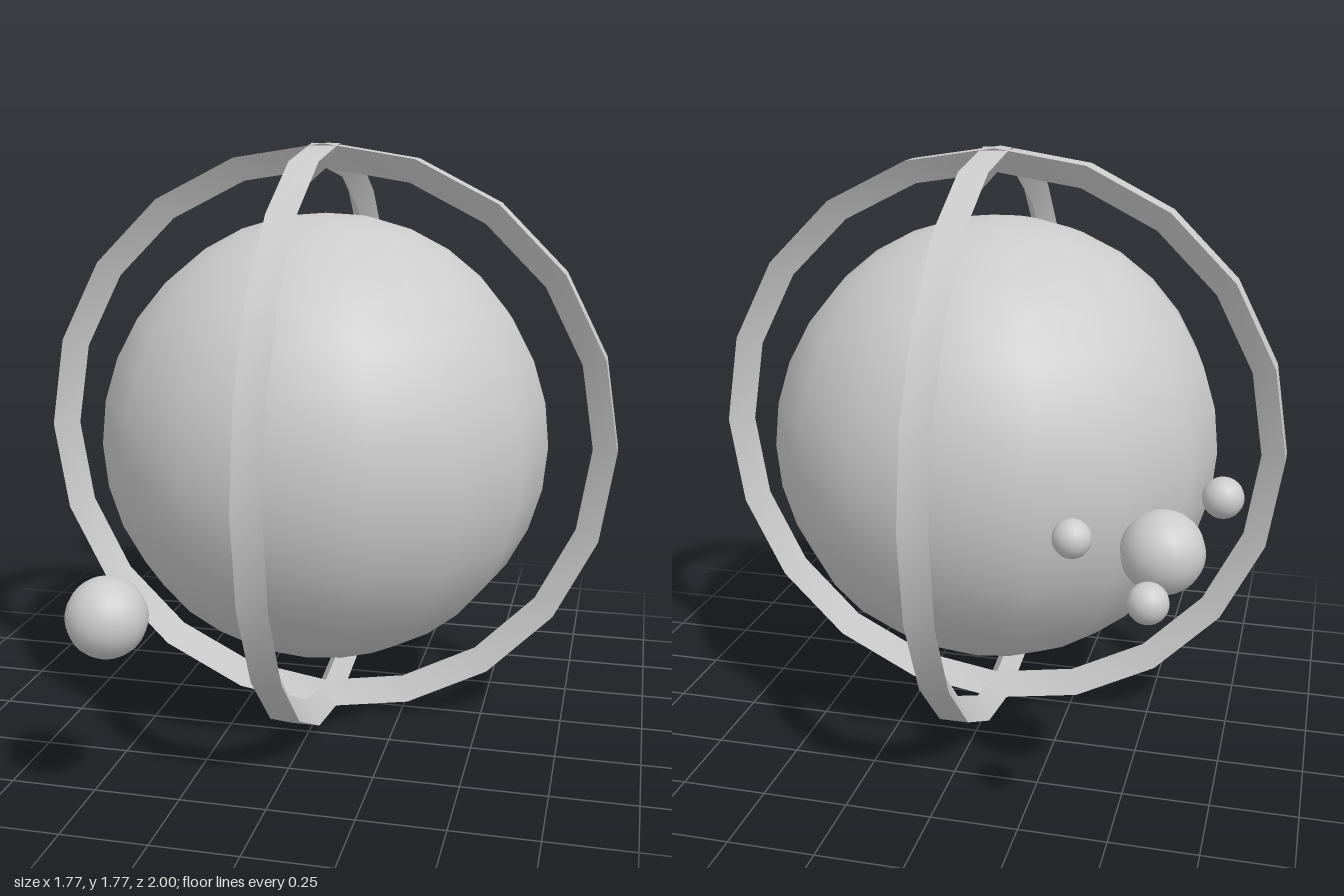
import * as THREE from 'three';
import { toCreasedNormals } from 'three/addons/utils/BufferGeometryUtils.js';

const CENTER = new THREE.Vector3(0, 0.89, 0.018);

export function createModel() {
  const model = new THREE.Group();
  model.name = 'cagedPlanet';
  const material = new THREE.MeshStandardMaterial({ color: 0xcccccc });

  function add(name, geometry, x, y, z) {
    const mesh = new THREE.Mesh(geometry, material);
    mesh.name = name;
    mesh.position.set(x, y, z);
    model.add(mesh);
    return mesh;
  }
  const ball = (name, r, x, y, z) => add(name, new THREE.SphereGeometry(r, 16, 16), x, y, z);

  // Central globe
  ball('planet', 0.682, ...CENTER);

  // Twenty-sided rings: triangular section, flat outside and ridged inside
  const section = [[0.886, -0.043], [0.886, 0.043], [0.813, 0], [0.886, -0.043]]
    .map(([r, h]) => new THREE.Vector2(r, h));
  const ringGeometry = toCreasedNormals(new THREE.LatheGeometry(section, 20), 0.7);
  add('ringAcross', ringGeometry, ...CENTER).rotation.x = Math.PI / 2;
  add('ringLengthwise', ringGeometry, ...CENTER).rotation.z = Math.PI / 2;

  // Lone moon in front
  ball('frontMoon', 0.109, -0.385, 0.584, 0.891);

  // Moon behind with its three moonlets
  ball('backMoon', 0.109, -0.618, 0.855, -0.731);
  [[-0.763, 1.02, -0.75], [-0.388, 0.877, -0.751], [-0.613, 0.808, -0.948]]
    .forEach((p, i) => ball('moonlet' + (i + 1), 0.052, ...p));

  return model;
}
